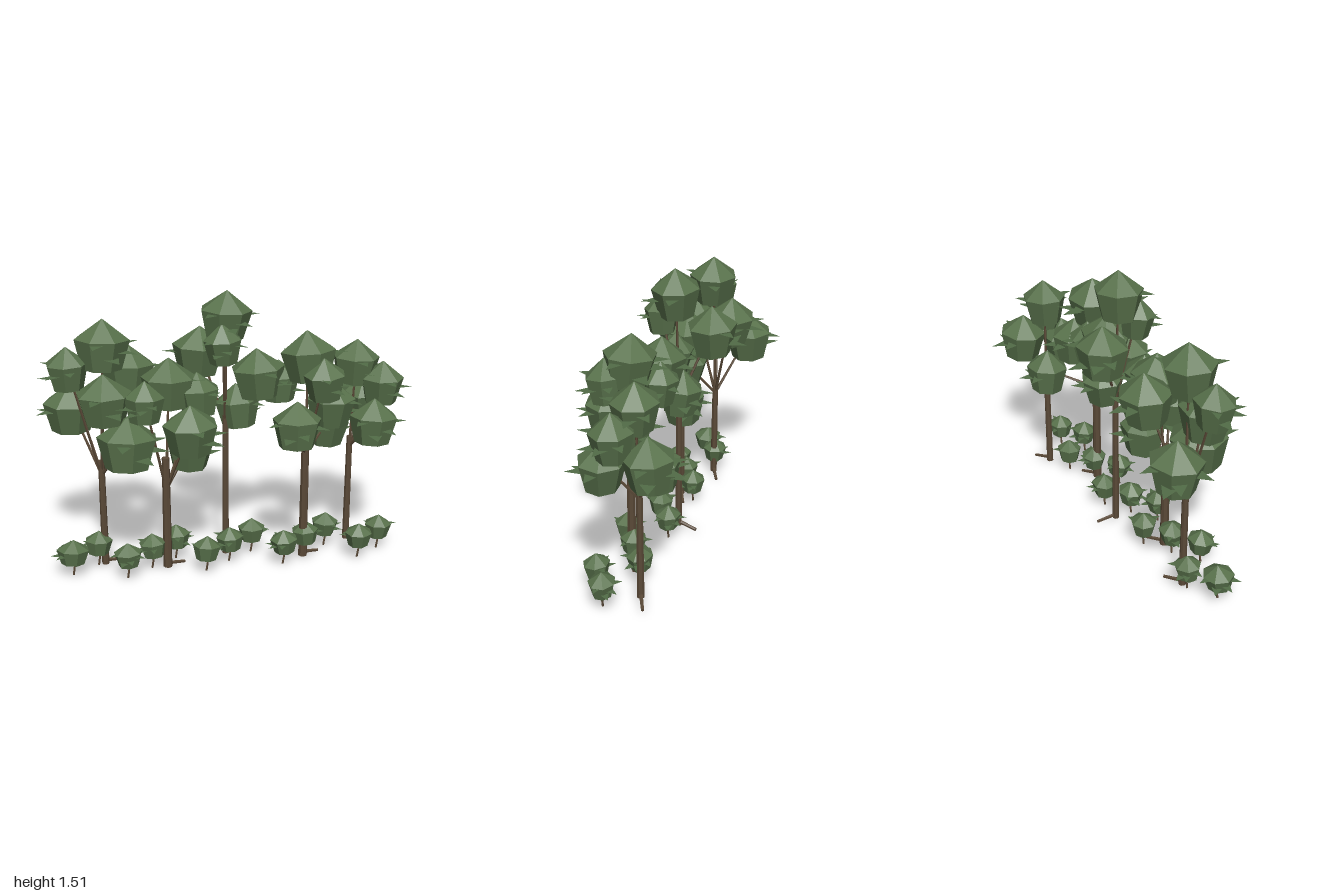
import * as THREE from 'three';

const foliageGreen = new THREE.MeshStandardMaterial({ color: 0x58714b, flatShading: true });
const leafGreen = new THREE.MeshStandardMaterial({ color: 0x526c47, flatShading: true, side: THREE.DoubleSide });
const barkBrown = new THREE.MeshStandardMaterial({ color: 0x5a4937, flatShading: true });
foliageGreen.name = 'foliageGreen';
leafGreen.name = 'leafGreen';
barkBrown.name = 'barkBrown';

let seed = 7;
function rand() {
  seed = (seed * 16807) % 2147483647;
  return seed / 2147483647;
}

function add(parent, name, geometry, material) {
  const mesh = new THREE.Mesh(geometry, material);
  mesh.name = name;
  parent.add(mesh);
  return mesh;
}

// Tapered round stick between two points
function stick(parent, name, a, b, r0, r1, sides) {
  const from = new THREE.Vector3(...a), to = new THREE.Vector3(...b);
  const dir = to.clone().sub(from);
  const mesh = add(parent, name, new THREE.CylinderGeometry(r1, r0, dir.length(), sides), barkBrown);
  mesh.position.copy(from).add(to).multiplyScalar(0.5);
  mesh.quaternion.setFromUnitVectors(new THREE.Vector3(0, 1, 0), dir.normalize());
}

// Faceted foliage clump: pointed cap, tapering sides and flat base, with a few broad thin leaves
function foliage(parent, name, x, apex, z, r, h, outward) {
  const group = new THREE.Group();
  group.name = name;
  group.position.set(x, apex - h * 0.4, z);
  const profile = [[0, -h * 0.6], [r * 0.72, -h * 0.6], [r, 0], [0, h * 0.4]];
  const shell = new THREE.LatheGeometry(profile.map(p => new THREE.Vector2(...p)), 7);
  shell.rotateY(rand() * 6.28);
  shell.scale(1, 1, 0.91);
  const body = add(group, 'foliageBody', shell, foliageGreen);
  body.rotation.set((rand() - 0.5) * 0.16, 0, (rand() - 0.5) * 0.16);

  for (let i = 0; i < 4; i++) {
    const angle = outward + (i - 1.5) * 0.75 + (rand() - 0.5) * 0.5;
    const shape = new THREE.ConeGeometry(r * 0.42, r * 0.85, 3);
    shape.rotateX(Math.PI / 2);
    shape.scale(1, 0.14, 1);
    const leaf = add(group, 'leaf', shape, leafGreen);
    const drop = h * (0.04 + 0.1 * ((i * 3) % 4));
    leaf.position.set(Math.sin(angle) * r * 0.98, -drop, Math.cos(angle) * r * 0.92);
    leaf.rotation.y = angle;
  }
  parent.add(group);
}

// Tree with one branch per clump; each clump is x, apex height, z, radius
function tree(model, x, z, top, r, fork, rootAngle, ...clumps) {
  const group = new THREE.Group();
  group.name = 'tree';
  stick(group, 'trunk', [x, 0.015, z], [x, top, z], r, r * 0.85, 8);
  const rootTip = [x + Math.cos(rootAngle) * 0.11, 0.012, z + Math.sin(rootAngle) * 0.11];
  stick(group, 'root', [x, 0.035, z], rootTip, 0.011, 0.009, 6);
  for (const [cx, apex, cz, cr] of clumps) {
    const h = 0.1 + 1.1 * cr;
    stick(group, 'branch', [x, fork, z], [cx, apex - h / 2, cz], 0.009, 0.005, 5);
    const outward = Math.atan2(cx - x, cz - z) + (rand() - 0.5) * 0.8;
    foliage(group, 'foliageClump', cx, apex, cz, cr, h, outward);
  }
  model.add(group);
}

export function createModel() {
  const model = new THREE.Group();
  model.name = 'treeRow';

  // Five trees from right to left
  tree(model, -0.68, -0.055, 0.62, 0.02, 0.54, -0.45,
    [-0.65, 1.39, -0.04, 0.145], [-0.835, 1.26, -0.02, 0.11], [-0.82, 1.01, -0.21, 0.145],
    [-0.66, 1.13, 0.06, 0.145], [-0.51, 1.21, -0.19, 0.145], [-0.55, 0.91, 0.1, 0.16]);
  tree(model, -0.35, 0.045, 0.65, 0.024, 0.47, -0.45,
    [-0.46, 1.1, 0.12, 0.105], [-0.32, 1.18, 0, 0.145], [-0.23, 0.965, 0.14, 0.145],
    [-0.21, 0.81, -0.01, 0.13], [-0.17, 1.1, 0.02, 0.115]);
  tree(model, -0.01, -0.06, 0.83, 0.019, 0.78, -1.4,
    [-0.01, 1.51, -0.04, 0.138], [-0.045, 1.36, 0.05, 0.1], [-0.125, 1.29, -0.2, 0.145],
    [0.155, 1.2, -0.02, 0.145], [0.06, 0.99, -0.1, 0.122], [0.28, 1.12, -0.06, 0.11]);
  tree(model, 0.405, 0.055, 0.71, 0.025, 0.62, -0.45,
    [0.41, 1.3, 0.045, 0.148], [0.47, 1.18, 0.155, 0.112], [0.315, 0.97, 0.21, 0.13],
    [0.555, 1.01, 0, 0.135], [0.59, 0.83, -0.16, 0.125]);
  tree(model, 0.705, -0.11, 0.64, 0.02, 0.58, -0.45,
    [0.72, 1.2, -0.1, 0.13], [0.85, 1.09, -0.035, 0.12], [0.785, 0.905, 0.045, 0.133],
    [0.81, 0.975, -0.2, 0.14]);

  // Staggered low hedge of small bushes
  const rows = [0.04, -0.05, 0.13];
  for (let i = 0; i < 13; i++) {
    const bush = new THREE.Group();
    bush.name = 'bush';
    const x = -0.855 + i * 0.1415, z = rows[i % 3];
    stick(bush, 'bushStem', [x - 0.005, 0.012, z], [x + 0.012, 0.12, z], 0.006, 0.005, 5);
    foliage(bush, 'bushFoliage', x, 0.215, z, i === 0 ? 0.088 : 0.076, 0.13, rand() * 6.28);
    model.add(bush);
  }
  return model;
}
